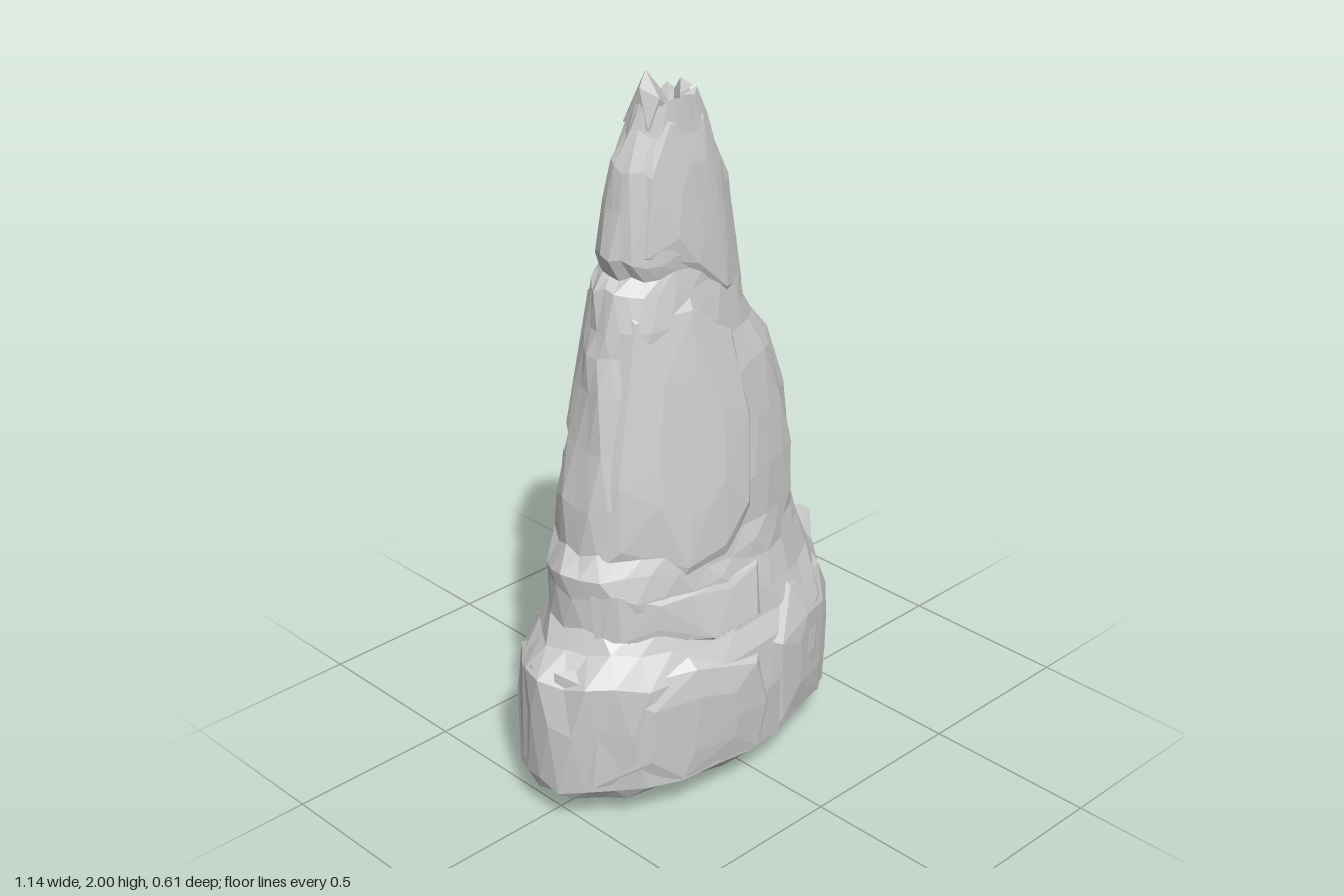
import * as THREE from 'three';
import { ConvexGeometry } from 'three/addons/geometries/ConvexGeometry.js';

const stone = new THREE.MeshStandardMaterial({ color: 0xcccccc, flatShading: true });

// Spire sections: height, x from, x to, z back, z front
const SECTIONS = [
  [0.03, -0.28, 0.2, -0.14, 0.14], [0.07, -0.55, 0.43, -0.25, 0.25], [0.115, -0.57, 0.455, -0.295, 0.29],
  [0.3, -0.57, 0.46, -0.305, 0.305], [0.43, -0.56, 0.45, -0.305, 0.3], [0.5, -0.5, 0.42, -0.285, 0.27],
  [0.56, -0.46, 0.39, -0.265, 0.25], [0.66, -0.47, 0.34, -0.24, 0.235], [0.71, -0.47, 0.335, -0.235, 0.23],
  [0.77, -0.43, 0.33, -0.235, 0.22], [0.9, -0.425, 0.32, -0.23, 0.215], [1.05, -0.395, 0.3, -0.215, 0.195],
  [1.2, -0.365, 0.25, -0.185, 0.17], [1.29, -0.345, 0.18, -0.16, 0.145], [1.36, -0.335, 0.15, -0.15, 0.14],
  [1.46, -0.315, 0.145, -0.15, 0.125], [1.5, -0.275, 0.135, -0.145, 0.12], [1.54, -0.295, 0.125, -0.14, 0.12],
  [1.68, -0.275, 0.1, -0.12, 0.11], [1.78, -0.255, 0.06, -0.1, 0.1], [1.86, -0.215, 0.02, -0.075, 0.09],
  [1.94, -0.19, -0.02, -0.04, 0.08],
];
const POWER = 2.05;

function makeRandom(seed) {
  return () => {
    seed = (seed * 16807) % 2147483647;
    return seed / 2147483647 - 0.5;
  };
}

function sectionAt(y) {
  let i = 0;
  while (i < SECTIONS.length - 2 && SECTIONS[i + 1][0] < y) i++;
  const a = SECTIONS[i], b = SECTIONS[i + 1];
  const t = THREE.MathUtils.clamp((y - a[0]) / (b[0] - a[0]), 0, 1);
  return a.map((v, k) => v + (b[k] - v) * t);
}

// Depth of the front (side 1) or back (side -1) surface at x, y
function depthAt(x, y, side) {
  const [, x0, x1, z0, z1] = sectionAt(y);
  const u = Math.min(0.98, Math.abs((2 * x - x0 - x1) / (x1 - x0)));
  const mid = (z0 + z1) / 2;
  return mid + side * ((z1 - z0) / 2) * Math.pow(1 - Math.pow(u, POWER), 1 / POWER);
}

// Rough core, lofted through the sections and closed at both ends
function coreGeometry() {
  const random = makeRandom(71), segments = 28;
  const heights = SECTIONS.map((s) => s[0]);
  const points = [], index = [];
  heights.forEach((y, row) => {
    const [, x0, x1, z0, z1] = sectionAt(y);
    for (let i = 0; i < segments; i++) {
      const a = ((i + (row % 2) * 0.5) / segments) * Math.PI * 2;
      const c = Math.cos(a), s = Math.sin(a);
      const k = 1 + random() * 0.06;
      const x = (x0 + x1) / 2 + ((x1 - x0) / 2) * Math.sign(c) * Math.pow(Math.abs(c), 2 / POWER) * k;
      const z = (z0 + z1) / 2 + ((z1 - z0) / 2) * Math.sign(s) * Math.pow(Math.abs(s), 2 / POWER) * k * 0.96;
      points.push(Math.max(-0.57, x), y + random() * 0.028, z);
    }
  });
  const rows = heights.length, bottom = rows * segments, top = bottom + 1;
  points.push(-0.05, 0, 0, -0.1, 1.91, 0.02);
  for (let i = 0; i < segments; i++) {
    const n = (i + 1) % segments, last = (rows - 1) * segments;
    for (let r = 0; r < rows - 1; r++) {
      const a = r * segments + i, b = r * segments + n;
      const c = a + segments, d = b + segments;
      if (r % 2) index.push(a, c, d, a, d, b);
      else index.push(a, c, b, b, c, d);
    }
    index.push(bottom, i, n, top, last + n, last + i);
  }
  const geometry = new THREE.BufferGeometry();
  geometry.setAttribute('position', new THREE.Float32BufferAttribute(points, 3));
  geometry.setIndex(index);
  const flat = geometry.toNonIndexed();
  flat.computeVertexNormals();
  return flat;
}

// Rock plate with a sunken, bevelled rim and a face following the spire surface
function plateGeometry(outline, side) {
  const cx = outline.reduce((s, p) => s + p[0], 0) / outline.length;
  const cy = outline.reduce((s, p) => s + p[1], 0) / outline.length;
  const points = [];
  for (const [x, y] of outline) {
    points.push(new THREE.Vector3(x, y, depthAt(x, y, side) - side * 0.022));
    for (const k of [0.84, 0.45]) {
      const px = cx + (x - cx) * k, py = cy + (y - cy) * k;
      points.push(new THREE.Vector3(px, py, depthAt(px, py, side) + side * 0.002));
    }
  }
  return new ConvexGeometry(points);
}

const hull = (list) => new ConvexGeometry(list.map((p) => new THREE.Vector3(...p)));

export function createModel() {
  const group = new THREE.Group();
  const add = (name, geometry) => {
    const mesh = new THREE.Mesh(geometry, stone);
    mesh.name = name;
    group.add(mesh);
  };

  add('spireCore', coreGeometry());

  // Plates on the front face
  const front = {
    frontMainPlate: [[-0.41, 0.74], [-0.23, 0.66], [-0.08, 0.69], [0.03, 0.8], [0.06, 1.08], [0.04, 1.33],
      [-0.12, 1.47], [-0.3, 1.46], [-0.35, 1.2], [-0.4, 0.95]],
    frontTopPlate: [[-0.27, 1.54], [-0.1, 1.49], [0.02, 1.38], [0.13, 1.36], [0.11, 1.6], [0.04, 1.78], [-0.03, 1.92],
      [-0.17, 1.93], [-0.24, 1.78]],
    frontLeftBlock: [[-0.56, 0.11], [-0.3, 0.09], [0.0, 0.09], [0.03, 0.25], [-0.02, 0.42], [-0.25, 0.48], [-0.54, 0.46]],
    frontRightBlock: [[0.04, 0.12], [0.3, 0.08], [0.43, 0.12], [0.44, 0.4], [0.36, 0.52], [0.12, 0.57], [0.02, 0.42]],
    frontLedge: [[-0.44, 0.53], [-0.16, 0.49], [0.02, 0.5], [0.05, 0.66], [-0.22, 0.65], [-0.44, 0.69]],
  };
  // Plates on the back face
  const back = {
    backMainPlate: [[-0.41, 0.76], [-0.3, 0.63], [-0.02, 0.61], [0.1, 0.72], [0.13, 1.0], [0.11, 1.27], [0.02, 1.28],
      [-0.2, 1.14], [-0.37, 0.98]],
    backUpperPlate: [[-0.38, 1.03], [-0.2, 1.17], [-0.02, 1.29], [0.08, 1.35], [-0.08, 1.44], [-0.3, 1.46]],
    backTopPlate: [[-0.28, 1.56], [-0.12, 1.45], [0.08, 1.38], [0.14, 1.42], [0.1, 1.64], [0.02, 1.82], [-0.1, 1.91],
      [-0.18, 1.9], [-0.25, 1.74]],
    backStrip: [[0.16, 0.66], [0.31, 0.64], [0.31, 0.95], [0.25, 1.2], [0.17, 1.27], [0.14, 1.0]],
    backBoulder: [[-0.28, 0.11], [-0.1, 0.09], [0.12, 0.2], [0.24, 0.35], [0.24, 0.48], [0.1, 0.56], [-0.2, 0.56],
      [-0.42, 0.47], [-0.42, 0.3]],
    backSideBlock: [[-0.56, 0.12], [-0.34, 0.11], [-0.45, 0.3], [-0.47, 0.46], [-0.55, 0.45]],
  };
  for (const [name, outline] of Object.entries(front)) add(name, plateGeometry(outline, 1));
  for (const [name, outline] of Object.entries(back)) add(name, plateGeometry(outline, -1));

  // Wedge-shaped slab leaning on the left side of the base
  add('sideSlab', hull([
    [0.2, 0.17, -0.265], [0.22, 0.44, -0.265], [0.3, 0.08, -0.21], [0.3, 0.49, -0.215],
    [0.55, 0.075, -0.12], [0.57, 0.1, -0.13], [0.57, 0.48, -0.13], [0.57, 0.1, -0.085], [0.57, 0.48, -0.085],
    [0.42, 0.48, 0], [0.45, 0.42, 0.04], [0.46, 0.12, 0.04], [0.43, 0.06, 0], [0.15, 0.04, -0.05], [0.2, 0.4, 0],
  ]));
  add('slabShoulder', hull([
    [0.32, 0.64, -0.08], [0.3, 0.6, -0.14], [0.35, 0.6, 0], [0.4, 0.52, 0.03], [0.46, 0.47, -0.02],
    [0.5, 0.47, -0.12], [0.36, 0.5, -0.19], [0.2, 0.45, -0.05],
  ]));

  // Broken shards at the tip
  add('tipShard', hull([
    [-0.145, 2, -0.015], [-0.19, 1.97, 0.01], [-0.2, 1.87, 0.05], [-0.19, 1.87, -0.05],
    [-0.11, 1.95, 0.0], [-0.08, 1.87, 0.04], [-0.09, 1.87, -0.05], [-0.17, 1.95, 0.06],
  ]));
  add('smallTipShard', hull([
    [-0.05, 1.965, 0.01], [-0.02, 1.94, 0.03], [-0.09, 1.945, 0.05], [0.01, 1.86, 0.0],
    [-0.02, 1.86, 0.06], [-0.12, 1.86, 0.07], [-0.06, 1.86, -0.05],
  ]));
  return group;
}
